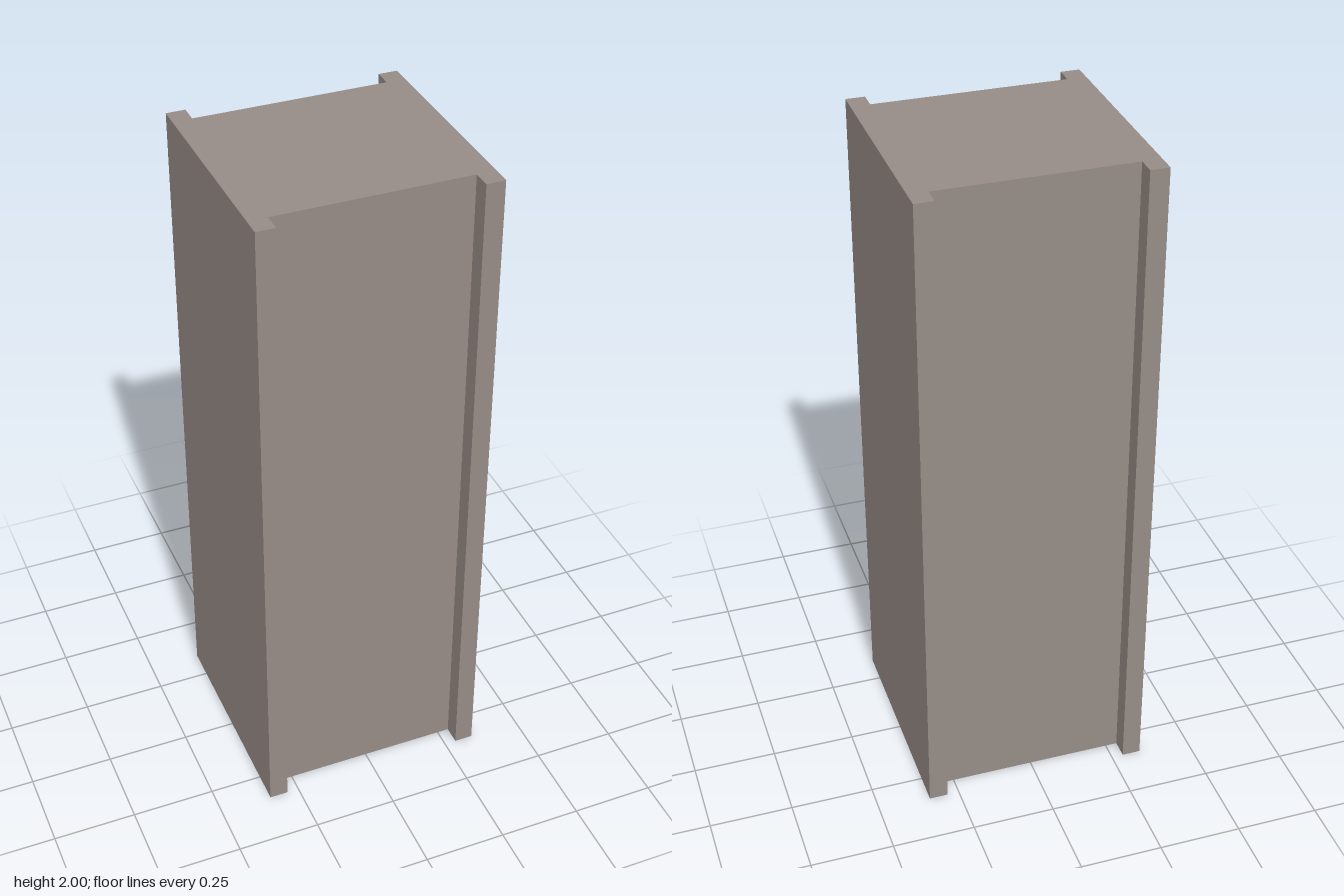
import * as THREE from 'three';
import { mergeGeometries } from 'three/addons/utils/BufferGeometryUtils.js';

const HEIGHT = 2;
const OUTER = 0.342; // half width of the flanges
const INNER = 0.286; // half width of the core

// Wide H-shaped cross-section, counterclockwise in the (x, -z) plane
function columnOutline() {
  const quarter = [[OUTER, OUTER], [INNER, OUTER], [INNER, INNER]];
  const mirrored = (sx, sy, flip) => {
    const pts = quarter.map(([x, y]) => new THREE.Vector2(x * sx, y * sy));
    return flip ? pts.reverse() : pts;
  };
  return [
    ...mirrored(1, 1, false),
    ...mirrored(-1, 1, true),
    ...mirrored(-1, -1, false),
    ...mirrored(1, -1, true),
  ];
}

export function createModel() {
  const group = new THREE.Group();
  group.name = 'column';

  const stone = new THREE.MeshStandardMaterial({ color: 0x968c87, side: THREE.DoubleSide });
  stone.name = 'warm grey';

  const outline = columnOutline();

  // Thin outer shell: one upright panel per outline edge, open at the bottom
  const panels = outline.map((p, i) => {
    const q = outline[(i + 1) % outline.length];
    const dx = q.x - p.x;
    const dy = q.y - p.y;
    const panel = new THREE.PlaneGeometry(Math.hypot(dx, dy), HEIGHT);
    panel.rotateY(Math.atan2(dy, dx));
    panel.translate((p.x + q.x) / 2, HEIGHT / 2, -(p.y + q.y) / 2);
    return panel;
  });
  const walls = new THREE.Mesh(mergeGeometries(panels), stone);
  walls.name = 'walls';
  group.add(walls);

  // Flat cap closing the top
  const capGeometry = new THREE.ShapeGeometry(new THREE.Shape(outline));
  capGeometry.rotateX(-Math.PI / 2);
  capGeometry.translate(0, HEIGHT, 0);
  const cap = new THREE.Mesh(capGeometry, stone);
  cap.name = 'topCap';
  group.add(cap);

  return group;
}
